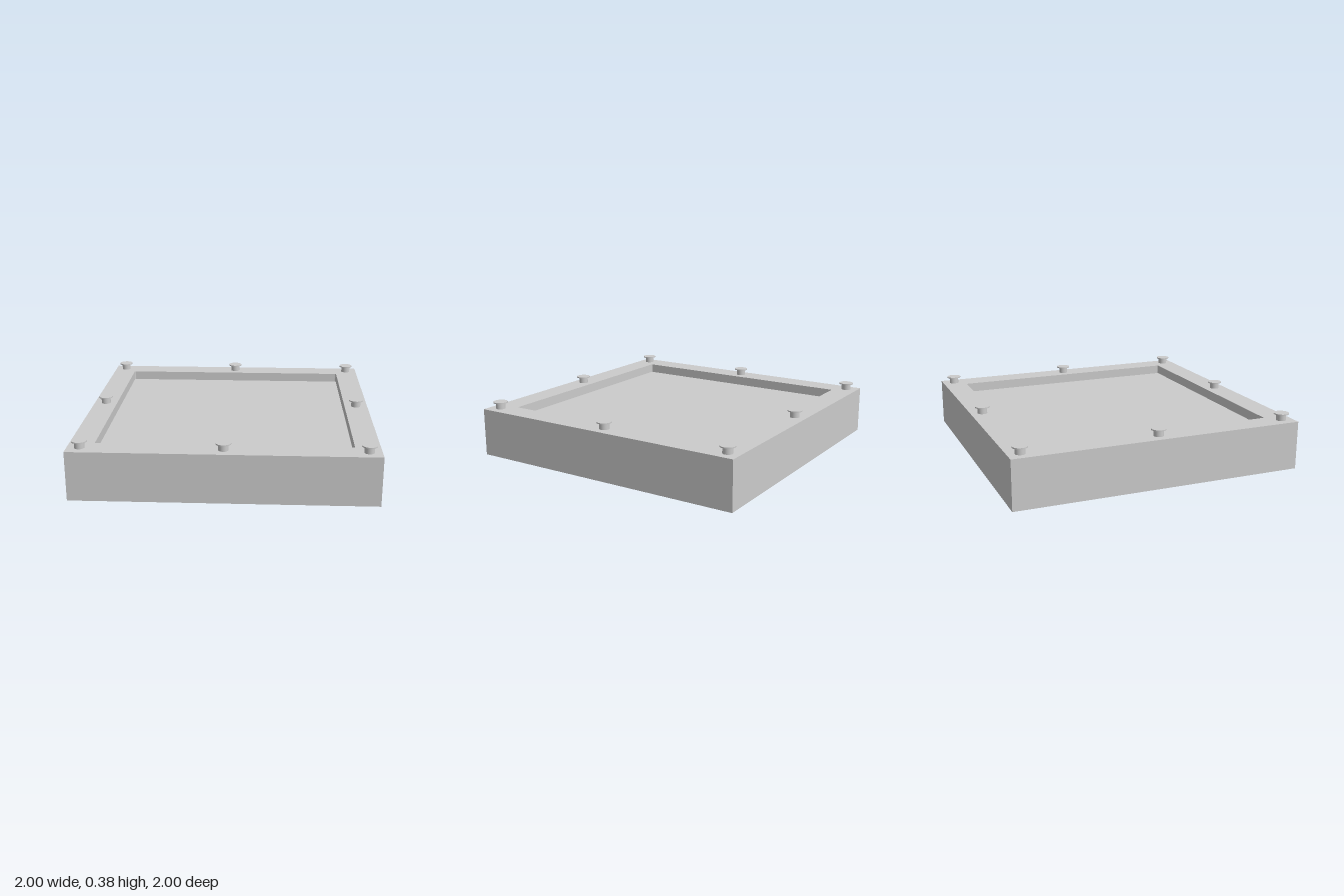
import * as THREE from 'three';

const material = new THREE.MeshStandardMaterial({ color: 0xcccccc });
const HEIGHT = 0.333, FLOOR = 0.267, OPENING = 0.835, PEG_OFFSET = 0.917;

function addPart(parent, name, geometry, y = 0) {
  const mesh = new THREE.Mesh(geometry, material);
  mesh.name = name;
  mesh.position.y = y;
  parent.add(mesh);
  return mesh;
}

// Square path with slightly rounded corners
function roundedSquare(half, r) {
  const path = new THREE.Path();
  const c = half - r;
  path.absarc(c, c, r, 0, Math.PI / 2);
  path.absarc(-c, c, r, Math.PI / 2, Math.PI);
  path.absarc(-c, -c, r, Math.PI, Math.PI * 1.5);
  path.absarc(c, -c, r, Math.PI * 1.5, Math.PI * 2);
  path.closePath();
  return path;
}

// Short peg with a thin, wider head
function createPeg(x, z) {
  const peg = new THREE.Group();
  peg.name = 'peg';
  addPart(peg, 'pegShank', new THREE.CylinderGeometry(0.033, 0.033, 0.042, 32), 0.021);
  addPart(peg, 'pegHead', new THREE.CylinderGeometry(0.05, 0.05, 0.008, 32), 0.046);
  peg.position.set(x, HEIGHT, z);
  return peg;
}

export function createModel() {
  const model = new THREE.Group();
  model.name = 'recessedTray';

  // Solid base, whose top is the recess floor
  addPart(model, 'base', new THREE.BoxGeometry(2, FLOOR, 2), FLOOR / 2);

  // Raised rim around the recess
  const outline = new THREE.Shape();
  outline.moveTo(-1, -1).lineTo(1, -1).lineTo(1, 1).lineTo(-1, 1).closePath();
  outline.holes.push(roundedSquare(OPENING, 0.01));
  const rim = new THREE.ExtrudeGeometry(outline, {
    depth: HEIGHT - FLOOR, bevelEnabled: false, curveSegments: 6,
  });
  rim.rotateX(-Math.PI / 2);
  addPart(model, 'rim', rim, FLOOR);

  // Pegs at the corners and the middle of each side
  for (const i of [-1, 0, 1]) {
    for (const k of [-1, 0, 1]) {
      if (i || k) model.add(createPeg(i * PEG_OFFSET, k * PEG_OFFSET));
    }
  }
  return model;
}
